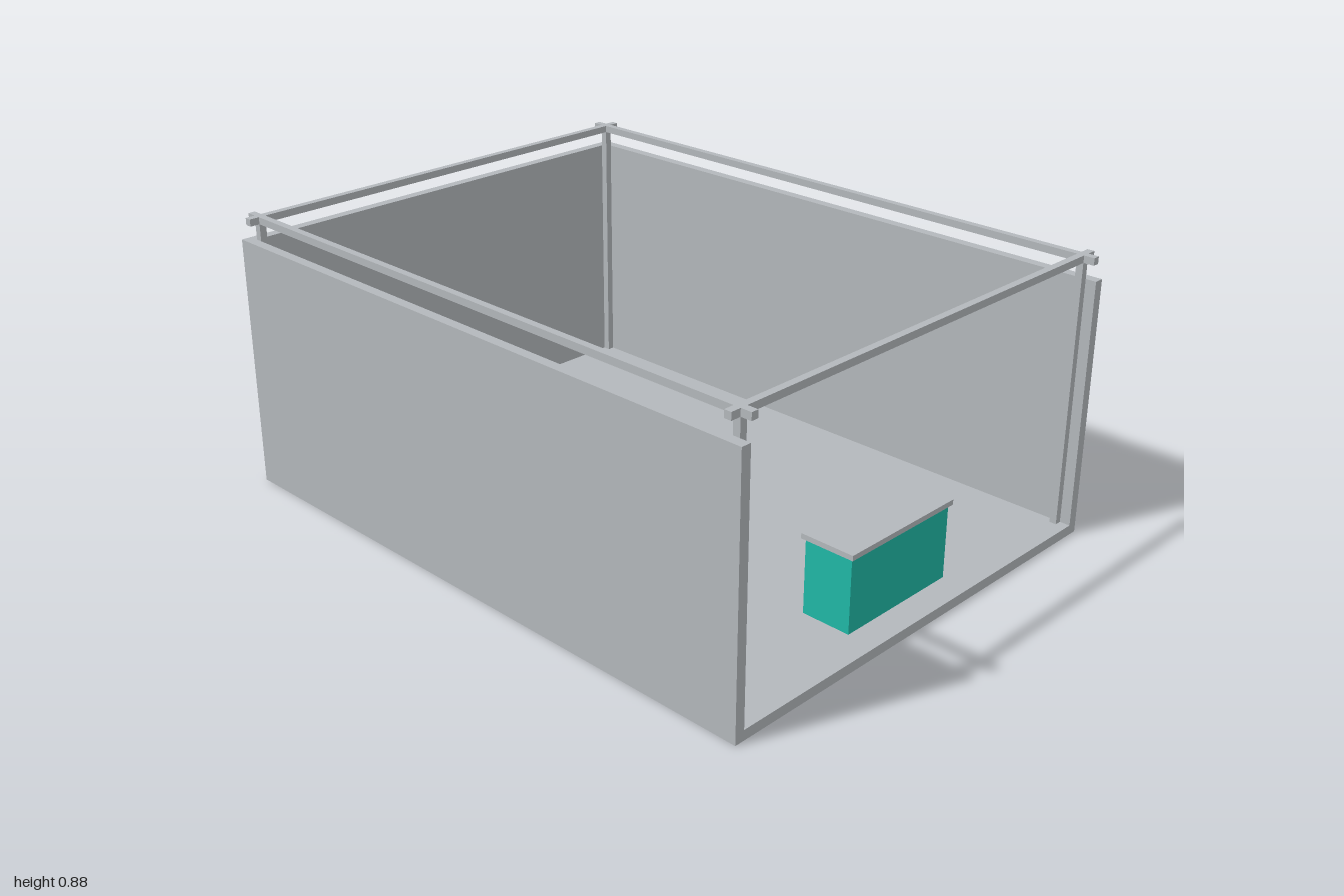
import * as THREE from 'three';

const grey = new THREE.MeshStandardMaterial({ color: 0xb4b8bc });
grey.name = 'light grey';
const teal = new THREE.MeshStandardMaterial({ color: 0x20b8a6 });
teal.name = 'teal';

export function createModel() {
  const model = new THREE.Group();
  model.name = 'openBooth';

  // Box given by its size and the centre of its underside
  const box = (name, w, h, d, x, y, z, material = grey) => {
    const mesh = new THREE.Mesh(new THREE.BoxGeometry(w, h, d), material);
    mesh.name = name;
    mesh.position.set(x, y + h / 2, z);
    model.add(mesh);
  };

  const halfW = 0.75, depth = 2, wallH = 0.8, wall = 0.031;
  const postX = 0.708, postZ = 0.956, bar = 0.022, top = 0.875;

  // Floor and both side walls as one U-shaped section
  const inner = halfW - wall;
  const section = new THREE.Shape([
    [-halfW, 0], [halfW, 0], [halfW, wallH], [inner, wallH],
    [inner, wall], [-inner, wall], [-inner, wallH], [-halfW, wallH],
  ].map(([x, y]) => new THREE.Vector2(x, y)));
  const shellGeometry = new THREE.ExtrudeGeometry(section, { depth: depth - wall, bevelEnabled: false });
  shellGeometry.translate(0, 0, -depth / 2 + wall);
  const shell = new THREE.Mesh(shellGeometry, grey);
  shell.name = 'floorAndSideWalls';
  model.add(shell);

  box('backWall', halfW * 2, wallH, wall, 0, 0, -depth / 2 + wall / 2);

  // Corner posts and the crossing top rails
  for (const [side, sx] of [['left', 1], ['right', -1]]) {
    box(side + 'FrontPost', bar, top - bar - wall, bar, sx * postX, wall, postZ);
    box(side + 'BackPost', bar, top - bar - wall, bar, sx * postX, wall, -postZ);
    box(side + 'Rail', bar, bar, depth, sx * postX, top - bar, 0);
  }
  box('frontRail', halfW * 2, bar, bar, 0, top - bar, postZ);
  box('backRail', halfW * 2, bar, bar, 0, top - bar, -postZ);

  // Reception counter
  box('counterBody', 0.42, 0.26 - wall, 0.156, 0, wall, 0.833, teal);
  box('counterTop', 0.438, 0.016, 0.174, 0, 0.26, 0.833);

  return model;
}
